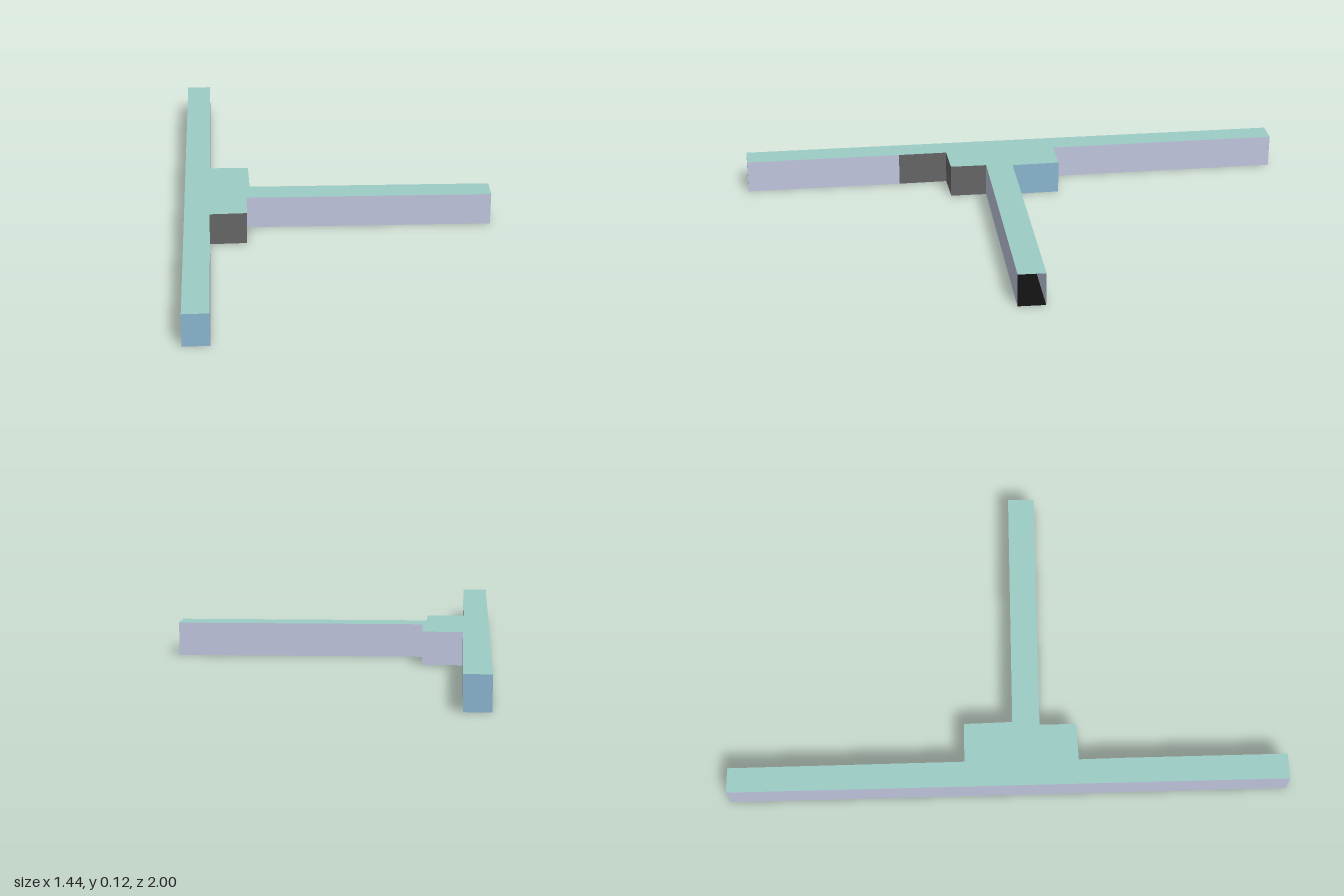
import * as THREE from 'three';

const HEIGHT = 0.122;
const paint = (color) => new THREE.MeshStandardMaterial({ color, side: THREE.DoubleSide });
const teal = paint(0x9dccc6), lavender = paint(0xc0c6de), blue = paint(0x8ab5d0);
const dark = paint(0x666666), black = paint(0x111111);

// Plan outline, counterclockwise from above: x, z, then the name and material of the wall
// that starts at this corner (no wall where the side arm's end is open)
const OUTLINE = [
  [-0.72, -0.975, 'barOuterWall', lavender],
  [-0.12, 1.0, 'barFrontEnd', blue],
  [-0.03, 0.97, 'barFrontInnerWall', lavender],
  [-0.2, 0.41, 'barDarkInnerWall', dark],
  [-0.255, 0.235, 'blockFrontWall', dark],
  [-0.125, 0.19, 'blockFrontSideWall', dark],
  [-0.163, 0.06, 'armFrontWall', lavender],
  [0.717, -0.205],
  [0.69, -0.3, 'armBackWall', lavender],
  [-0.18, -0.04, 'blockBackSideWall', blue],
  [-0.235, -0.21, 'blockBackWall', lavender],
  [-0.375, -0.168, 'barBackInnerWall', lavender],
  [-0.63, -1.0, 'barBackEnd', blue],
];

export function createModel() {
  const model = new THREE.Group();
  model.name = 'branchedCorridor';
  const add = (name, geometry, material) => {
    const mesh = new THREE.Mesh(geometry, material);
    mesh.name = name;
    model.add(mesh);
    return mesh;
  };

  // Roof and floor share the plan outline
  const plan = new THREE.Shape(OUTLINE.map(([x, z]) => new THREE.Vector2(x, -z)));
  const slab = () => new THREE.ShapeGeometry(plan).rotateX(-Math.PI / 2);
  add('roof', slab().translate(0, HEIGHT, 0), teal);
  const floor = slab();
  // Reverse the floor so it faces down
  floor.setIndex(Array.from(floor.index.array).reverse());
  floor.computeVertexNormals();
  add('floor', floor, black);

  // Upright walls between neighbouring corners
  OUTLINE.forEach(([x, z, name, material], i) => {
    if (!name) return;
    const [nx, nz] = OUTLINE[(i + 1) % OUTLINE.length];
    const wall = add(name, new THREE.PlaneGeometry(Math.hypot(nx - x, nz - z), HEIGHT), material);
    wall.position.set((x + nx) / 2, HEIGHT / 2, (z + nz) / 2);
    wall.rotation.y = Math.atan2(z - nz, nx - x);
  });

  return model;
}
